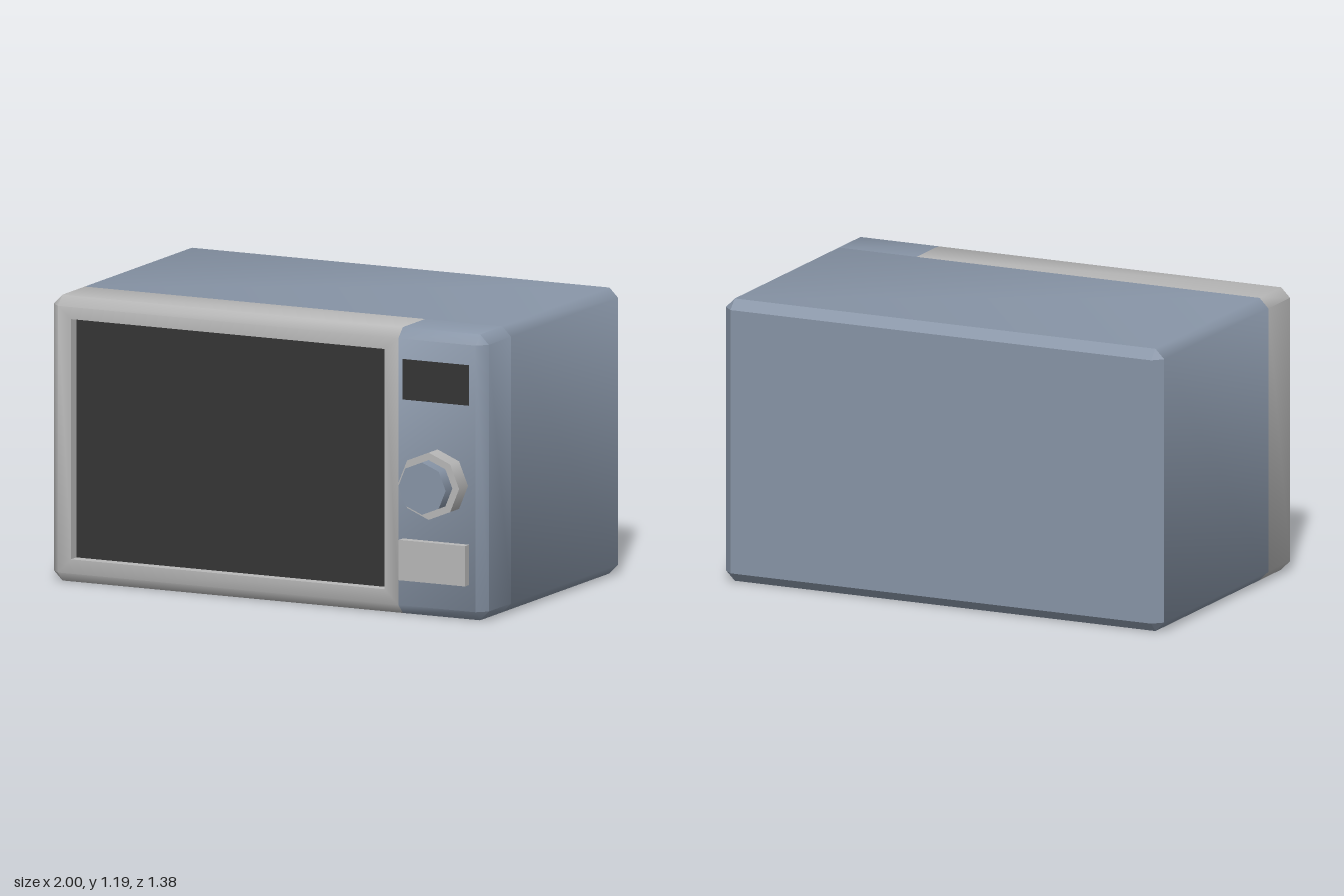
import * as THREE from 'three';
import { toCreasedNormals } from 'three/addons/utils/BufferGeometryUtils.js';

const H = 1.19, C = 0.04, SPLIT = 0.605;
const BACK = -0.69, SEAM = 0.31, FRONT = 0.55;

// Eight-point cross-section: a rectangle with cut corners (cl on the -x side, cr on the +x side)
function ring(x0, x1, y0, y1, cl, cr, z) {
  return [
    [x0 + cl, y0, z], [x1 - cr, y0, z], [x1, y0 + cr, z], [x1, y1 - cr, z],
    [x1 - cr, y1, z], [x0 + cl, y1, z], [x0, y1 - cl, z], [x0, y0 + cl, z],
  ];
}

// Skin a list of cross-sections, with optional end caps; 45 degree edges are softened by crease
function loft(sections, { capStart = false, capEnd = false, crease = 0.95 } = {}) {
  const pos = [];
  const tri = (a, b, c) => {
    const [A, B, D] = [a, b, c].map((p) => new THREE.Vector3(...p));
    if (new THREE.Triangle(A, B, D).getArea() > 1e-8) pos.push(...a, ...b, ...c);
  };
  const n = sections[0].length;
  for (let i = 0; i < sections.length - 1; i++) {
    const s = sections[i], t = sections[i + 1];
    for (let j = 0; j < n; j++) {
      const k = (j + 1) % n;
      tri(s[j], s[k], t[k]);
      tri(s[j], t[k], t[j]);
    }
  }
  const first = sections[0], last = sections[sections.length - 1];
  for (let j = 1; j < n - 1; j++) {
    if (capStart) tri(first[0], first[j + 1], first[j]);
    if (capEnd) tri(last[0], last[j], last[j + 1]);
  }
  const g = new THREE.BufferGeometry();
  g.setAttribute('position', new THREE.Float32BufferAttribute(pos, 3));
  return toCreasedNormals(g, crease);
}

export function createModel() {
  const group = new THREE.Group();
  const mat = (name, color) => {
    const m = new THREE.MeshStandardMaterial({ color });
    m.name = name;
    return m;
  };
  const blue = mat('blueGreyMetal', 0x8895a7);
  const light = mat('lightGreyMetal', 0xb8b8b8);
  const dark = mat('darkGlass', 0x353535);

  const add = (name, geometry, material, x = 0, y = 0, z = 0) => {
    const mesh = new THREE.Mesh(geometry, material);
    mesh.name = name;
    mesh.position.set(x, y, z);
    group.add(mesh);
    return mesh;
  };

  // Casing with a crisp bevelled back
  const outline = (z) => ring(-1, 1, 0, H, C, C, z);
  add('casing', loft([outline(BACK + C), outline(SEAM)]), blue);
  add('backPanel', loft(
    [ring(-1 + C, 1 - C, C, H - C, 0, 0, BACK), outline(BACK + C)],
    { capStart: true, crease: 0.1 }), blue);

  // Control panel block, rounded towards the front
  const panel = (z) => ring(SPLIT, 1, 0, H, 0, C, z);
  add('controlPanel', loft(
    [panel(SEAM), panel(FRONT - C), ring(SPLIT, 1 - C, C, H - C, 0, 0, FRONT)],
    { capEnd: true }), blue);

  // Door frame with its window opening
  const door = (z) => ring(-1, SPLIT, 0, H, C, 0, z);
  const opening = (z) => ring(-0.9, 0.54, 0.1, 1.1, 0, 0, z);
  add('doorFrame', loft([
    door(SEAM), door(FRONT - C),
    ring(-1 + C, SPLIT, C, H - C, 0, 0, FRONT),
    opening(FRONT), opening(FRONT - 0.05),
  ]), light);
  add('doorWindow', new THREE.BoxGeometry(1.44, 1, 0.008), dark, -0.18, 0.6, FRONT - 0.052);

  // Controls
  add('display', new THREE.BoxGeometry(0.305, 0.168, 0.008), dark, 0.778, 0.982, FRONT);
  add('openButton', new THREE.BoxGeometry(0.305, 0.168, 0.05), light, 0.778, 0.235, FRONT + 0.012);
  const knob = (name, r, z0, z1, material) => {
    const m = add(name, new THREE.CylinderGeometry(r, r, z1 - z0, 8), material, 0.785, 0.563, (z0 + z1) / 2);
    m.rotation.x = Math.PI / 2;
  };
  knob('knobBase', 0.14, FRONT - 0.01, 0.63, light);
  knob('knobGrip', 0.109, 0.62, 0.69, blue);

  return group;
}
